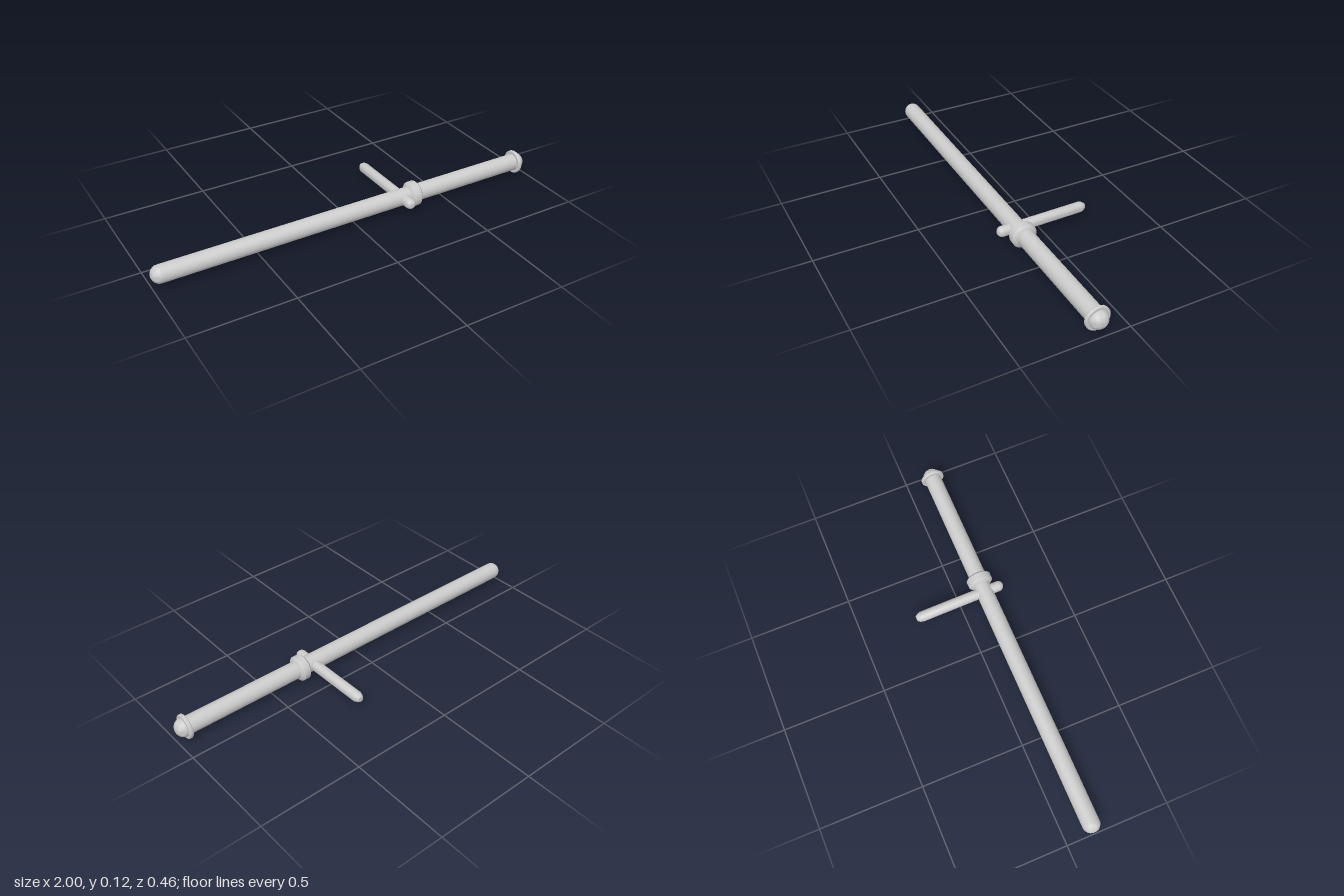
import * as THREE from 'three';
import { toCreasedNormals } from 'three/addons/utils/BufferGeometryUtils.js';

const AXIS_Y = 0.063, AXIS_Z = 0.13;

// Quarter-round end from the axis out to radius r; dir = -1 opens a bar, +1 closes it
function dome(r, depth, base, dir, steps = 6) {
  const pts = [];
  for (let i = 0; i <= steps; i++) {
    const a = (i / steps) * Math.PI / 2;
    pts.push([r * Math.sin(a), base + dir * depth * Math.cos(a)]);
  }
  return dir < 0 ? pts : pts.reverse();
}

// Turned part: profile of [radius, position along its axis]
function turned(name, profile, sides, crease) {
  const lathe = new THREE.LatheGeometry(profile.map(p => new THREE.Vector2(...p)), sides);
  const material = new THREE.MeshStandardMaterial({ color: 0xcccccc });
  const mesh = new THREE.Mesh(toCreasedNormals(lathe, crease), material);
  mesh.name = name;
  return mesh;
}

export function createModel() {
  const model = new THREE.Group();
  model.name = 'sideHandleBaton';

  // Parts turned around the long x axis
  const body = new THREE.Group();
  body.name = 'body';
  body.rotation.z = -Math.PI / 2;
  body.position.set(0, AXIS_Y, AXIS_Z);
  body.add(
    turned('shaft', [...dome(0.042, 0.04, -0.96, -1), [0.042, 0.95]], 24, 0.6),
    turned('endRing', [[0.04, 0.942], [0.056, 0.942], [0.059, 0.946], [0.059, 0.956],
      [0.056, 0.96], [0.04, 0.96]], 18, 0.6),
    turned('endCap', [[0.044, 0.955], ...dome(0.044, 0.04, 0.96, 1)], 24, 0.6),
    turned('collar', [[0.04, 0.299], [0.05, 0.303], [0.062, 0.314], [0.062, 0.343],
      [0.05, 0.354], [0.04, 0.358]], 18, 0.4)
  );
  model.add(body);

  // Cross handle, passing through the shaft with a short knob at the front
  const handle = turned('sideHandle', [[0, -0.228], [0.013, -0.228], [0.021, -0.217],
    [0.026, -0.203], ...dome(0.026, 0.026, 0.202, 1, 5)], 14, 0.6);
  handle.rotation.set(Math.PI / 2, 0, 0);
  const handleGroup = new THREE.Group();
  handleGroup.name = 'handle';
  handleGroup.add(handle);
  handleGroup.rotation.y = 0.013;
  handleGroup.position.set(0.263, AXIS_Y, 0);
  model.add(handleGroup);

  return model;
}
